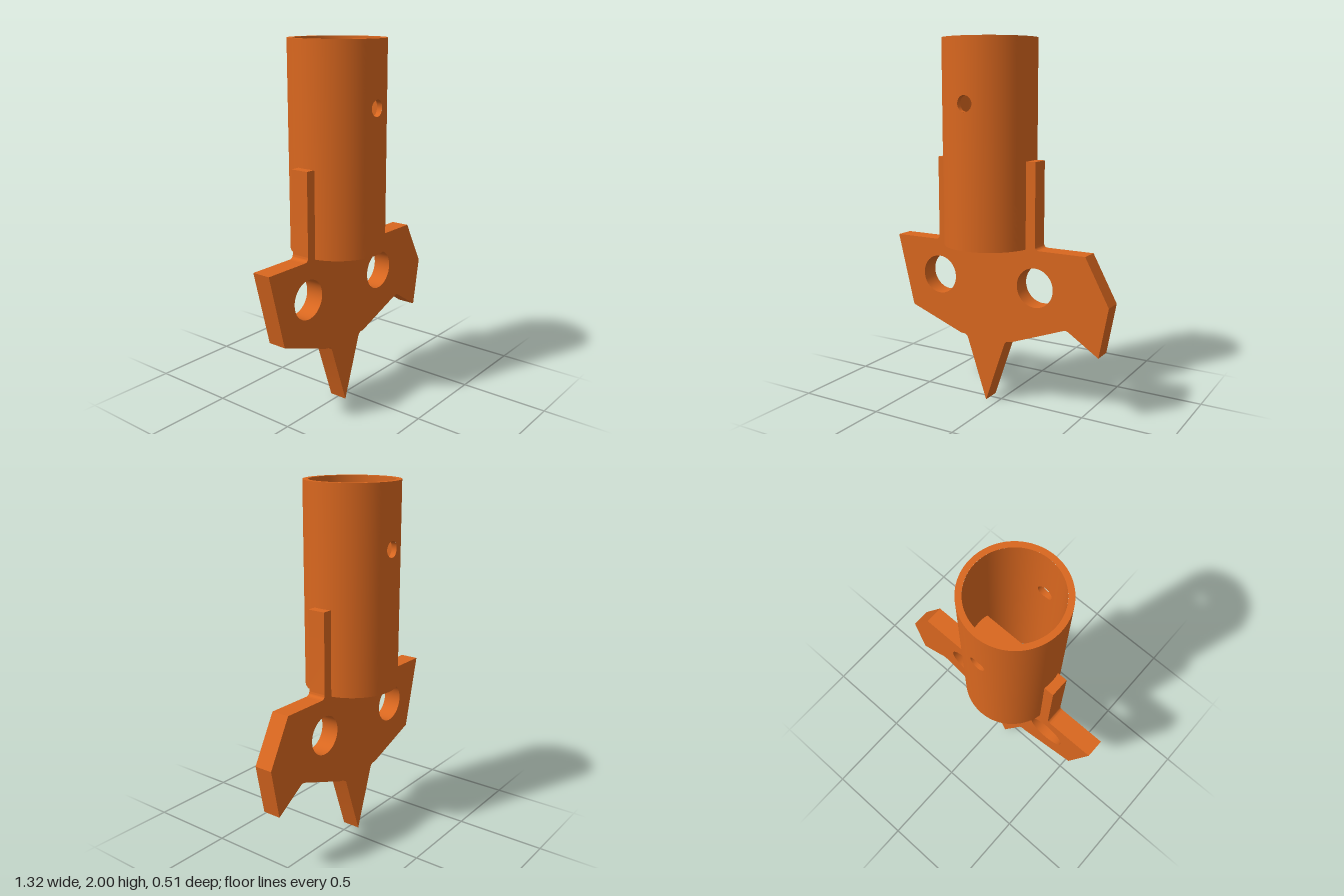
import * as THREE from 'three';
import { toCreasedNormals } from 'three/addons/utils/BufferGeometryUtils.js';

const CX = -0.07;                       // axis of tube and spike
const R_OUT = 0.255, R_IN = 0.225;      // tube radii
const Y0 = 0.897, Y1 = 2;               // tube ends
const PIN_Y = 1.663, PIN_R = 0.043;     // cross-drilled pin hole

// Grid surface over (u, v); point(u, v) returns [x, y, z]
function gridSurface(nu, nv, point, flip, normal) {
  const pos = [], nor = [], idx = [];
  for (let j = 0; j <= nv; j++) {
    for (let i = 0; i <= nu; i++) {
      const p = point(i / nu, j / nv);
      pos.push(...p);
      if (normal) nor.push(...normal(p));
      if (i < nu && j < nv) {
        const a = j * (nu + 1) + i, b = a + 1, d = a + nu + 1, c = d + 1;
        if (flip) idx.push(a, c, d, a, b, c);
        else idx.push(a, d, c, a, c, b);
      }
    }
  }
  const g = new THREE.BufferGeometry();
  g.setAttribute('position', new THREE.Float32BufferAttribute(pos, 3));
  g.setIndex(idx);
  if (normal) g.setAttribute('normal', new THREE.Float32BufferAttribute(nor, 3));
  else g.computeVertexNormals();
  return g;
}

// Half of a cylinder wall, spreading from the pin hole (v = 0) to the half's border (v = 1)
function wallPoint(r, u, v) {
  const s = Math.min(u * 4, 3.999999), k = Math.floor(s), f = (u * 4 - k) * 2 - 1;
  const [sx, sy] = [[1, f], [-f, 1], [-1, -f], [f, -1]][k];
  const a = k * Math.PI / 2 + f * Math.PI / 4;
  const holeT = Math.asin(PIN_R * Math.cos(a) / r), holeY = PIN_Y + PIN_R * Math.sin(a);
  const edgeT = sx * Math.PI / 2, edgeY = PIN_Y + sy * (sy > 0 ? Y1 - PIN_Y : PIN_Y - Y0);
  const t = holeT + (edgeT - holeT) * v, y = holeY + (edgeY - holeY) * v;
  return [r * Math.sin(t), y, r * Math.cos(t)];
}

function createTube(material) {
  const tube = new THREE.Group();
  tube.name = 'socketTube';
  const add = (name, geometry, parent = tube) => {
    const m = new THREE.Mesh(geometry, material);
    m.name = name;
    parent.add(m);
    return m;
  };
  // Front and back halves, each with its pin hole
  for (const [name, turn] of [['frontHalf', 0], ['backHalf', Math.PI]]) {
    const half = new THREE.Group();
    half.name = name;
    half.rotation.y = turn;
    add('outerWall', gridSurface(128, 24, (u, v) => wallPoint(R_OUT, u, v), false,
      ([x, , z]) => [x / R_OUT, 0, z / R_OUT]), half);
    add('innerWall', gridSurface(128, 24, (u, v) => wallPoint(R_IN, u, v), true,
      ([x, , z]) => [-x / R_IN, 0, -z / R_IN]), half);
    add('pinHole', gridSurface(64, 1, (u, v) => wallPoint(v ? R_OUT : R_IN, u, 0), false), half);
    tube.add(half);
  }
  // End rims
  for (const [name, y, rot] of [['topRim', Y1, -1], ['bottomRim', Y0, 1]]) {
    const rim = add(name, new THREE.RingGeometry(R_IN, R_OUT, 128));
    rim.rotation.x = rot * Math.PI / 2;
    rim.position.y = y;
  }
  tube.position.x = CX;
  return tube;
}

function createBlade(material) {
  const s = new THREE.Shape();
  s.moveTo(CX, 0);
  // Spike flank and right cutting edge
  s.lineTo(0.047, 0.342);
  s.quadraticCurveTo(0.055, 0.366, 0.075, 0.367);
  s.quadraticCurveTo(0.095, 0.367, 0.115, 0.376);
  s.lineTo(0.405, 0.484);
  s.quadraticCurveTo(0.424, 0.491, 0.44, 0.48);
  s.lineTo(0.61, 0.37);
  s.lineTo(0.661, 0.645);
  s.lineTo(0.525, Y0);
  // Tab that passes through the tube
  s.lineTo(0.262, Y0);
  s.quadraticCurveTo(0.235, Y0, 0.235, 0.924);
  s.lineTo(0.235, 1.365);
  s.lineTo(-0.375, 1.365);
  s.lineTo(-0.375, 0.924);
  s.quadraticCurveTo(-0.375, Y0, -0.402, Y0);
  // Left wing and back to the spike
  s.lineTo(-0.663, Y0);
  s.lineTo(-0.563, 0.49);
  s.lineTo(-0.255, 0.376);
  s.quadraticCurveTo(-0.235, 0.367, -0.215, 0.367);
  s.quadraticCurveTo(-0.195, 0.366, -0.187, 0.342);
  s.closePath();
  // Round openings in both wings
  for (const side of [-1, 1]) {
    const hole = new THREE.Path();
    hole.absarc(CX + side * 0.305, 0.693, 0.108, 0, Math.PI * 2, true);
    s.holes.push(hole);
  }
  const g = new THREE.ExtrudeGeometry(s, { depth: 0.104, bevelEnabled: false, curveSegments: 24 });
  g.translate(0, 0, -0.052);
  const blade = new THREE.Mesh(toCreasedNormals(g, 0.3), material);
  blade.name = 'bladePlate';
  return blade;
}

export function createModel() {
  const material = new THREE.MeshStandardMaterial({ color: 0xd9671f });
  const model = new THREE.Group();
  model.name = 'augerBit';
  model.add(createTube(material), createBlade(material));
  return model;
}
